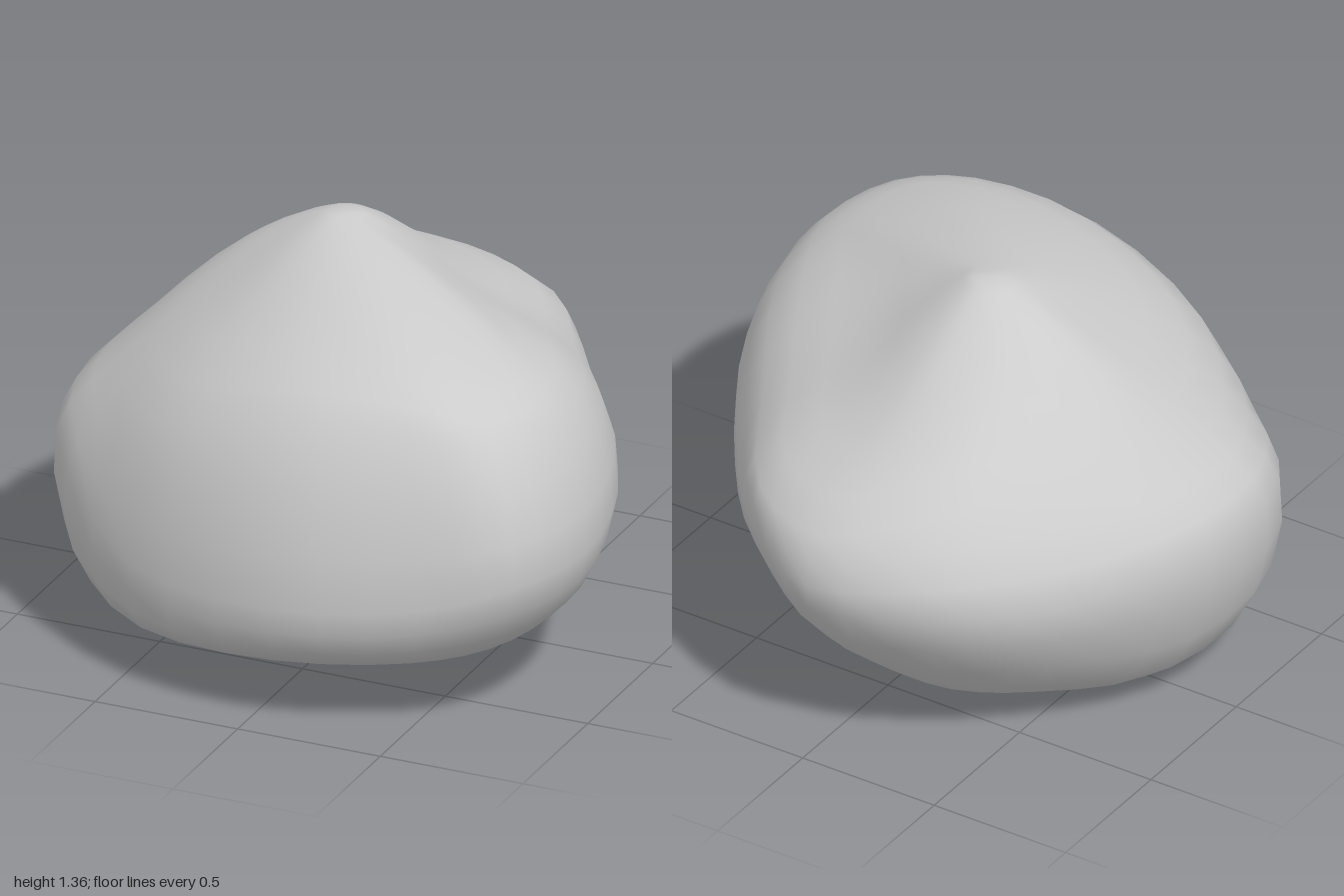
import * as THREE from 'three';

// Meridian profiles: angle from +x towards +z in degrees, then [radius, height] from underside to shoulder
const MERIDIANS = [
  [5, [0.42, 0.09], [0.83, 0.26], [1.00, 0.60], [0.87, 0.97], [0.48, 1.16]],
  [24, [0.45, 0.11], [0.98, 0.27], [1.16, 0.56], [1.03, 0.98], [0.78, 1.14]],
  [40, [0.50, 0.13], [1.06, 0.26], [1.25, 0.55], [1.12, 0.98], [0.87, 1.15]],
  [54, [0.50, 0.14], [1.04, 0.24], [1.17, 0.48], [1.02, 1.03], [0.75, 1.19]],
  [79, [0.50, 0.13], [0.98, 0.22], [1.07, 0.44], [0.90, 1.00], [0.52, 1.21]],
  [112, [0.46, 0.07], [0.90, 0.18], [0.96, 0.43], [0.82, 0.88], [0.43, 1.17]],
  [152, [0.46, 0.01], [0.83, 0.16], [0.925, 0.62], [0.73, 0.86], [0.37, 1.16]],
  [183, [0.38, 0.00], [0.71, 0.13], [0.87, 0.64], [0.67, 0.90], [0.35, 1.20]],
  [222, [0.38, 0.03], [0.66, 0.21], [0.85, 0.62], [0.65, 0.95], [0.33, 1.20]],
  [250, [0.38, 0.04], [0.65, 0.21], [0.925, 0.62], [0.77, 0.92], [0.37, 1.17]],
  [275, [0.38, 0.06], [0.63, 0.21], [0.95, 0.58], [0.90, 0.83], [0.49, 1.08]],
  [297, [0.38, 0.07], [0.60, 0.21], [0.87, 0.62], [0.85, 0.83], [0.48, 1.05]],
  [332, [0.38, 0.08], [0.62, 0.23], [0.82, 0.58], [0.73, 0.87], [0.40, 1.10]],
];
const AXIS = { x: -0.1, z: -0.05 };
const AROUND = MERIDIANS.length * 3;
const LEVELS = 21;

function createRockGeometry() {
  const curves = MERIDIANS.map(([angle, ...profile]) => {
    const a = THREE.MathUtils.degToRad(angle);
    const full = [[0, 0.08], ...profile, [0.09, 1.345], [0, 1.36]];
    return new THREE.CatmullRomCurve3(full.map(([r, y]) =>
      new THREE.Vector3(AXIS.x + r * Math.cos(a), y, AXIS.z + r * Math.sin(a))));
  });

  // Bottom pole, rings between the meridians, top pole
  const points = [curves[0].getPoint(0)];
  for (let k = 1; k < LEVELS; k++) {
    const ring = new THREE.CatmullRomCurve3(curves.map((c) => c.getPoint(k / LEVELS)), true);
    for (let j = 0; j < AROUND; j++) points.push(ring.getPoint(j / AROUND));
  }
  points.push(curves[0].getPoint(1));

  const index = [];
  const top = points.length - 1;
  const at = (k, j) => 1 + (k - 1) * AROUND + (j % AROUND);
  for (let j = 0; j < AROUND; j++) {
    index.push(0, at(1, j), at(1, j + 1));
    for (let k = 1; k < LEVELS - 1; k++) {
      const a = at(k, j), b = at(k, j + 1), c = at(k + 1, j + 1), d = at(k + 1, j);
      index.push(a, d, c, a, c, b);
    }
    index.push(at(LEVELS - 1, j), top, at(LEVELS - 1, j + 1));
  }

  const geometry = new THREE.BufferGeometry().setFromPoints(points);
  geometry.setIndex(index);
  geometry.computeVertexNormals();
  return geometry;
}

export function createModel() {
  const group = new THREE.Group();
  group.name = 'boulder';
  const rock = new THREE.Mesh(
    createRockGeometry(),
    new THREE.MeshStandardMaterial({ color: 0xcccccc }),
  );
  rock.name = 'rock';
  group.add(rock);
  return group;
}
